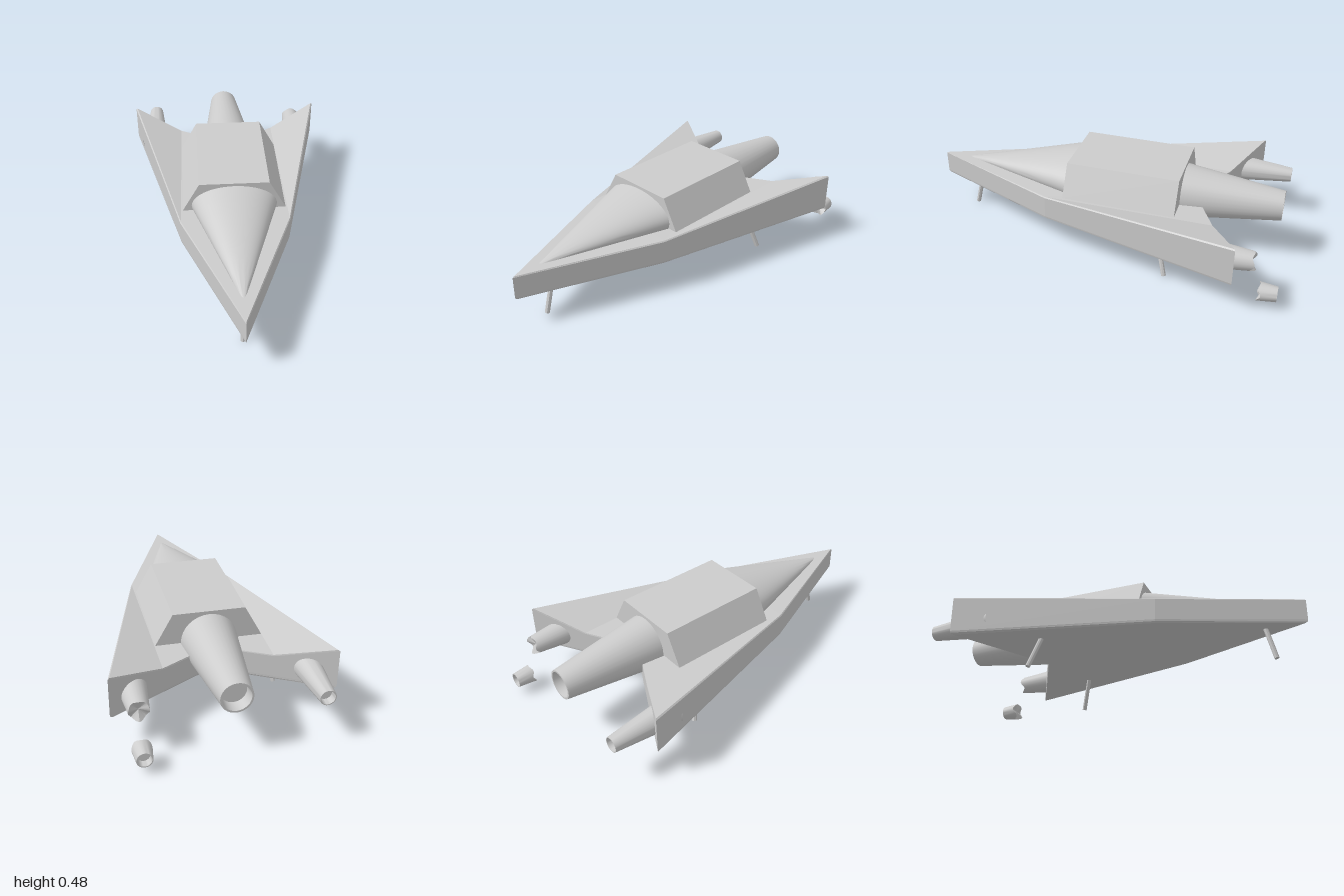
import * as THREE from 'three';
import { toCreasedNormals } from 'three/addons/utils/BufferGeometryUtils.js';

const material = new THREE.MeshStandardMaterial({ color: 0xcccccc, side: THREE.DoubleSide });

function add(group, name, geometry, x = 0, y = 0, z = 0) {
  const mesh = new THREE.Mesh(geometry, material);
  mesh.name = name;
  mesh.position.set(x, y, z);
  group.add(mesh);
  return mesh;
}

// Builds a faceted geometry from a list of triangle corners
function facets(corners) {
  const geometry = new THREE.BufferGeometry();
  geometry.setAttribute('position', new THREE.Float32BufferAttribute(corners.flat(), 3));
  geometry.computeVertexNormals();
  return geometry;
}

// Delta hull: bevelled outline rings, with wings that rise outside a fold line
function hullGeometry() {
  const half = [[0.29, 0.27], [0.553, -0.785], [0.28, -0.636]];
  const outline = [[0, 0.998], ...half, [0, -0.485],
    ...half.map(([x, z]) => [-x, z]).reverse()];
  const topY = (x) => 0.31 + Math.max(0, Math.abs(x) - 0.28) * 0.295;
  const ring = (inset, height) => outline.map(([x, z]) =>
    [x * (1 - inset), height(x), (z + 0.1) * (1 - inset / 2) - 0.1]);
  const rings = [
    ring(0.03, () => 0.173),
    ring(0.005, () => 0.18),
    ring(0, () => 0.19),
    ring(0, (x) => topY(x) - 0.006),
    ring(0.015, topY),
  ];
  const corners = [];
  for (let r = 0; r < rings.length - 1; r++) {
    for (let i = 0; i < outline.length; i++) {
      const j = (i + 1) % outline.length;
      const [a, b, c, d] = [rings[r][i], rings[r][j], rings[r + 1][j], rings[r + 1][i]];
      corners.push(a, b, c, a, c, d);
    }
  }
  const cap = [[0, 1, 7], [1, 2, 3], [1, 3, 4], [1, 4, 7], [7, 4, 5], [7, 5, 6]];
  for (const [a, b, c] of cap) {
    const top = rings[rings.length - 1], bottom = rings[0];
    corners.push(top[a], top[b], top[c], bottom[a], bottom[c], bottom[b]);
  }
  return facets(corners);
}

// Canopy: an elliptical cone drooping into the deck
function canopyGeometry() {
  const geometry = new THREE.CylinderGeometry(0.006, 1, 1, 48, 8);
  const p = geometry.attributes.position;
  for (let i = 0; i < p.count; i++) {
    const t = p.getY(i) + 0.5;
    p.setXYZ(i, p.getX(i) * 0.228, 0.345 - 0.04 * t - p.getZ(i) * 0.12, 0.17 + 0.69 * t);
  }
  geometry.computeVertexNormals();
  return toCreasedNormals(geometry, 0.7);
}

// Turned part pointing backwards; ring points at jagAt become a torn edge
function turned(profile, segments, jagAt = null) {
  const geometry = new THREE.LatheGeometry(profile.map(([r, d]) => new THREE.Vector2(r, d)), segments);
  const p = geometry.attributes.position;
  if (jagAt !== null) {
    for (let i = 0; i < p.count; i++) {
      const x = p.getX(i), z = p.getZ(i);
      if (Math.abs(p.getY(i) - jagAt) > 1e-5 || Math.hypot(x, z) < 0.01) continue;
      const a = Math.atan2(z, x);
      p.setY(i, jagAt + 0.009 * Math.cos(4 * a) + 0.006 * Math.sin(3 * a));
    }
  }
  geometry.rotateX(-Math.PI / 2);
  return toCreasedNormals(geometry, 0.6);
}

// Tapered nozzle with a recessed mouth
const nozzle = (r0, r1, length, depth) => turned([
  [r0, 0], [r1, length], [r1 * 0.88, length], [r1 * 0.8, length - depth], [0, length - depth],
], 32);

function leg(group, name, from, to) {
  const a = new THREE.Vector3(...from), b = new THREE.Vector3(...to);
  const mesh = add(group, name, toCreasedNormals(
    new THREE.CylinderGeometry(0.013, 0.013, a.distanceTo(b), 8), 0.5));
  mesh.position.copy(a).add(b).multiplyScalar(0.5);
  mesh.quaternion.setFromUnitVectors(new THREE.Vector3(0, 1, 0), a.sub(b).normalize());
}

export function createModel() {
  const model = new THREE.Group();
  model.name = 'spaceship';

  add(model, 'hull', hullGeometry());

  // Cabin with sloping sides
  const section = new THREE.Shape([[-0.275, 0.316], [0.275, 0.316], [0.185, 0.48], [-0.185, 0.48]]
    .map(([x, y]) => new THREE.Vector2(x, y)));
  add(model, 'cabin', new THREE.ExtrudeGeometry(section, { depth: 0.605, bevelEnabled: false }), 0, 0, -0.432);
  add(model, 'canopy', canopyGeometry());

  // Engines: one large, one small and whole, one small and broken off
  add(model, 'mainEngine', nozzle(0.146, 0.079, 0.535, 0.06), 0, 0.319, -0.42);
  add(model, 'rightEngine', nozzle(0.077, 0.04, 0.36, 0.04), -0.435, 0.255, -0.6);
  add(model, 'brokenEngineStub', turned([[0.077, 0], [0.05, 0.268], [0, 0.25]], 24, 0.268),
    0.43, 0.255, -0.6);
  add(model, 'brokenEngineTip', turned([
    [0, 0.022], [0.049, 0.012], [0.039, 0.1], [0.034, 0.1], [0.03, 0.065], [0, 0.065],
  ], 24, 0.012), 0.43, 0.08, -0.9);

  // Landing legs
  leg(model, 'frontLeg', [0, 0.19, 0.775], [0, 0.003, 0.823]);
  for (const [side, name] of [[1, 'leftLeg'], [-1, 'rightLeg']]) {
    leg(model, name, [side * 0.313, 0.19, -0.362], [side * 0.363, 0.004, -0.413]);
  }
  return model;
}
